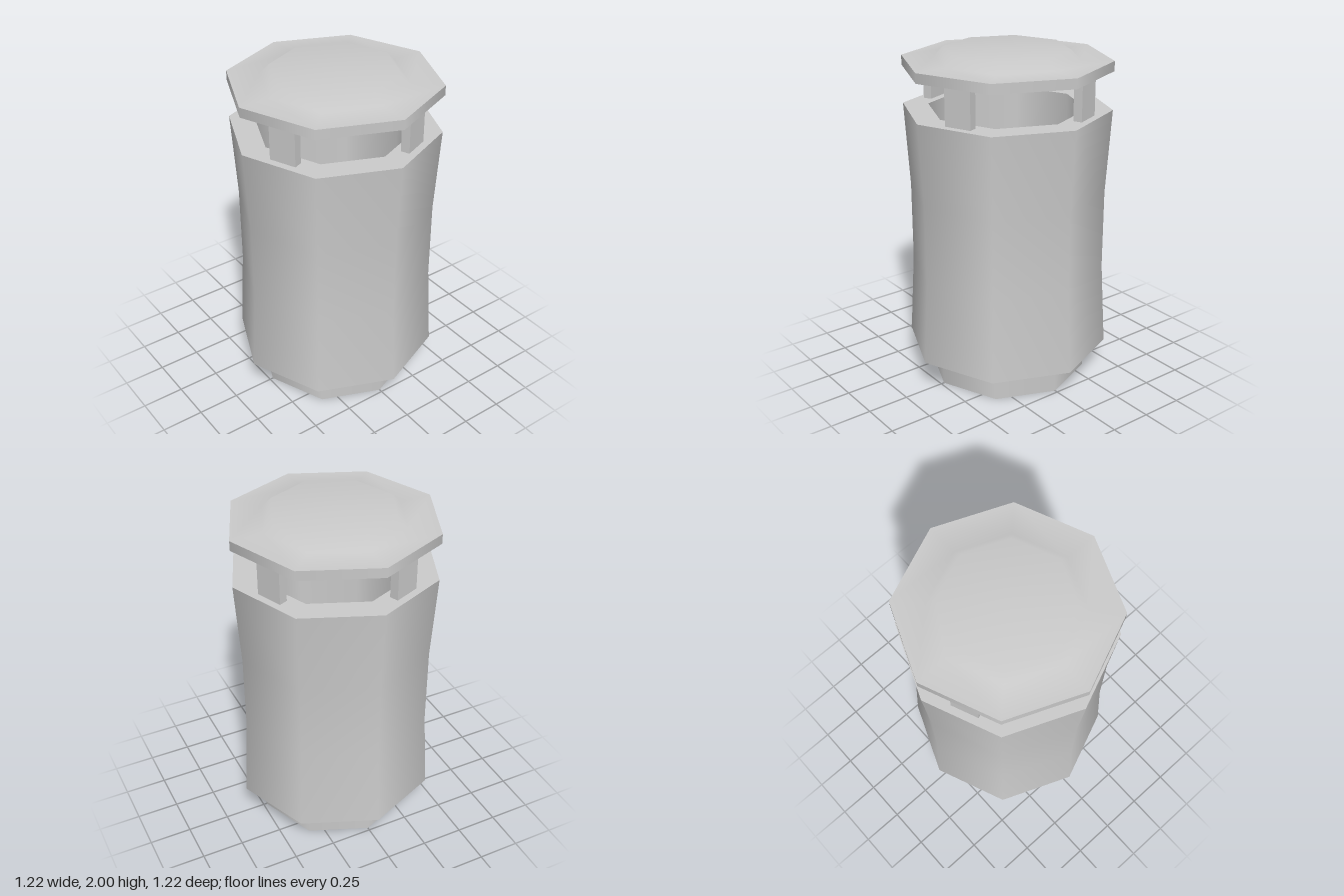
import * as THREE from 'three';
import { mergeGeometries } from 'three/addons/utils/BufferGeometryUtils.js';

const SIDES = 8;
const material = new THREE.MeshStandardMaterial({ color: 0xcccccc });

// Eight-sided turned part; each profile is smooth, edges between profiles stay sharp
function turned(name, ...profiles) {
  const strips = profiles.map((profile) =>
    new THREE.LatheGeometry(profile.map(([r, y]) => new THREE.Vector2(r, y)), SIDES));
  const mesh = new THREE.Mesh(mergeGeometries(strips), material);
  mesh.name = name;
  return mesh;
}

export function createModel() {
  const model = new THREE.Group();
  model.name = 'lantern';

  // Narrow foot
  model.add(turned('base',
    [[0, 0], [0.48, 0]],
    [[0.48, 0], [0.48, 0.185]]));

  // Slightly waisted hollow body with a flat rim
  model.add(turned('body',
    [[0, 0.185], [0.61, 0.185]],
    [[0.61, 0.185], [0.58, 0.69], [0.58, 1.16], [0.61, 1.66]],
    [[0.61, 1.66], [0.46, 1.66]],
    [[0.46, 1.66], [0.46, 0.25]],
    [[0.46, 0.25], [0, 0.25]]));

  // Four posts standing on alternate sides of the rim
  const posts = new THREE.Group();
  posts.name = 'posts';
  const postGeometry = new THREE.BoxGeometry(0.162, 0.225, 0.052);
  for (let i = 0; i < 4; i++) {
    const angle = Math.PI / 8 + (i * Math.PI) / 2;
    const post = new THREE.Mesh(postGeometry, material);
    post.name = 'post';
    post.position.set(Math.sin(angle) * 0.495, 1.7725, Math.cos(angle) * 0.495);
    post.rotation.y = angle;
    posts.add(post);
  }
  model.add(posts);

  // Lid plate with a softly shaded raised centre
  model.add(turned('lid',
    [[0, 1.885], [0.61, 1.885]],
    [[0.61, 1.885], [0.61, 1.943]],
    [[0.61, 1.943], [0.42, 1.943], [0.365, 2], [0, 2]]));

  return model;
}
